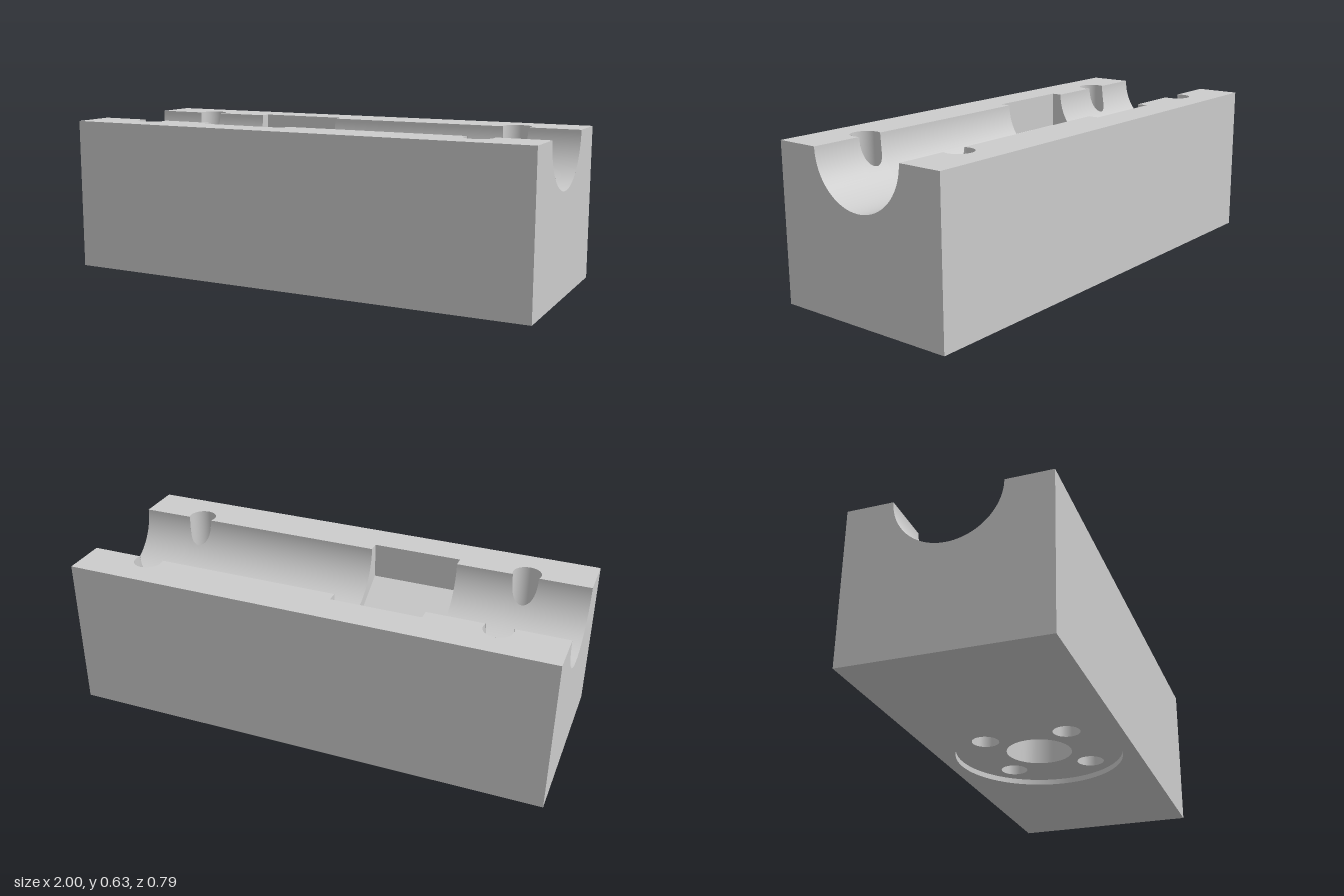
import * as THREE from 'three';

const H = 0.632, D = 0.395, R = 0.211;            // block height, half depth, groove radius
const SR = 0.058, SX = 0.735, SZ = 0.235, SY = 0.3; // screw holes: radius, position, floor
const P0 = -0.45, P1 = -0.08, PW = 0.255;         // hexagonal pocket
const PS = H - PW / Math.sqrt(3), PB = H - 2 * PW / Math.sqrt(3);
const RECESS = 0.022;

export function createModel() {
  const model = new THREE.Group();
  const grey = new THREE.MeshStandardMaterial({ color: 0xcccccc, side: THREE.DoubleSide });
  grey.name = 'light grey';

  const add = (name, geo, x = 0, y = 0, z = 0) => {
    const mesh = new THREE.Mesh(geo, grey);
    mesh.name = name;
    mesh.position.set(x, y, z);
    model.add(mesh);
    return mesh;
  };
  const flat = (shape) => new THREE.ShapeGeometry(shape, 48);
  const polygon = (pts) => new THREE.Shape(pts.map(([x, y]) => new THREE.Vector2(x, y)));

  // Surface from a list of equal-length rows of points
  const loft = (rows) => {
    const n = rows[0].length, index = [];
    for (let i = 0; i < rows.length - 1; i++) {
      for (let j = 0; j < n - 1; j++) {
        const a = i * n + j, b = a + n;
        index.push(a, a + 1, b, b, a + 1, b + 1);
      }
    }
    const geo = new THREE.BufferGeometry();
    geo.setAttribute('position', new THREE.Float32BufferAttribute(rows.flat(2), 3));
    geo.setIndex(index);
    geo.computeVertexNormals();
    return geo;
  };

  // Long sides
  add('frontSide', new THREE.PlaneGeometry(2, H), 0, H / 2, D);
  add('backSide', new THREE.PlaneGeometry(2, H).rotateY(Math.PI), 0, H / 2, -D);

  // Ends with the half-round groove cut out
  const end = polygon([[-D, 0], [D, 0], [D, H], [R, H]]);
  end.absarc(0, H, R, 0, Math.PI, true);
  end.lineTo(-D, H);
  for (const s of [1, -1]) add(s > 0 ? 'leftEnd' : 'rightEnd', flat(end).rotateY(s * Math.PI / 2), s);

  // Top strips, notched by the pocket and screw holes
  const tilt = Math.asin((SZ - R) / SR), chord = SR * Math.cos(tilt);
  const strip = new THREE.Shape();
  strip.moveTo(-1, R);
  strip.lineTo(-SX - chord, R);
  strip.absarc(-SX, SZ, SR, Math.PI + tilt, -tilt, true);
  for (const [x, z] of [[P0, R], [P0, PW], [P1, PW], [P1, R], [SX - chord, R]]) strip.lineTo(x, z);
  strip.absarc(SX, SZ, SR, Math.PI + tilt, -tilt, true);
  for (const [x, z] of [[1, R], [1, D], [-1, D]]) strip.lineTo(x, z);
  add('frontTop', flat(strip).rotateX(Math.PI / 2), 0, H);
  add('backTop', flat(strip).rotateX(-Math.PI / 2), 0, H);

  // Groove surface, trimmed where the screw holes break into it
  const grooveRow = (x) => {
    const dx = Math.abs(Math.abs(x) - SX);
    const edge = dx < SR ? Math.min(R, SZ - Math.sqrt(SR * SR - dx * dx)) : R;
    const limit = Math.asin(edge / R);
    return Array.from({ length: 65 }, (_, j) => {
      const a = limit * (j / 32 - 1);
      return [x, H - R * Math.cos(a), R * Math.sin(a)];
    });
  };
  const holeXs = (c) => Array.from({ length: 41 }, (_, i) => c - chord * Math.cos(Math.PI * i / 40));
  add('grooveRight', loft([-1, ...holeXs(-SX), P0].map(grooveRow)));
  add('grooveLeft', loft([P1, ...holeXs(SX), 1].map(grooveRow)));

  // Screw holes whose rim follows the top and the groove
  for (const sx of [-1, 1]) for (const sz of [-1, 1]) {
    const rows = [];
    for (let i = 0; i <= 96; i++) {
      const a = i / 96 * Math.PI * 2, x = SR * Math.cos(a), z = SZ + SR * Math.sin(a);
      const rim = z < R ? H - Math.sqrt(R * R - z * z) : H;
      rows.push([[sx * SX + x, SY, sz * z], [sx * SX + x, rim, sz * z]]);
    }
    add('screwHoleWall', loft(rows));
    add('screwHoleFloor', new THREE.CircleGeometry(SR, 96).rotateX(-Math.PI / 2), sx * SX, SY, sz * SZ);
  }

  // Hexagonal nut pocket: straight walls, two sloping floors, two end faces
  const section = [[PW, H], [PW, PS], [0, PB], [-PW, PS], [-PW, H]];
  for (let i = 0; i < 4; i++) {
    const rows = [P0, P1].map((x) => [section[i], section[i + 1]].map(([z, y]) => [x, y, z]));
    add(i === 0 || i === 3 ? 'pocketWall' : 'pocketFloor', loft(rows));
  }
  const cheek = polygon([...section, [-R, H]]);
  cheek.absarc(0, H, R, Math.PI, Math.PI * 2, false);
  add('pocketEnd', flat(cheek).rotateY(Math.PI / 2), P0);
  add('pocketEnd', flat(cheek).rotateY(-Math.PI / 2), P1);

  // Underside with a round recess holding a centre hole and four bolt holes
  const circle = (x, y, r) => new THREE.Path().absarc(x, y, r, 0, Math.PI * 2, true);
  const cylinder = (r, h) => new THREE.CylinderGeometry(r, r, h, 96, 1, true);
  const recessR = 0.342;
  const base = polygon([[-1, -D], [1, -D], [1, D], [-1, D]]);
  base.holes.push(circle(0, 0, recessR));
  add('underside', flat(base).rotateX(Math.PI / 2));
  add('recessWall', cylinder(recessR, RECESS), 0, RECESS / 2);

  const recess = new THREE.Shape().absarc(0, 0, recessR, 0, Math.PI * 2, false);
  const bores = [[0, 0, 0.134, 0.22]];
  for (const x of [-0.17, 0.17]) for (const z of [-0.17, 0.17]) bores.push([x, z, 0.055, 0.2]);
  for (const [x, z, r, depth] of bores) {
    recess.holes.push(circle(x, z, r));
    add('boreWall', cylinder(r, depth), x, RECESS + depth / 2, z);
    add('boreEnd', new THREE.CircleGeometry(r, 96).rotateX(Math.PI / 2), x, RECESS + depth, z);
  }
  add('recessFloor', flat(recess).rotateX(Math.PI / 2), 0, RECESS);

  return model;
}
